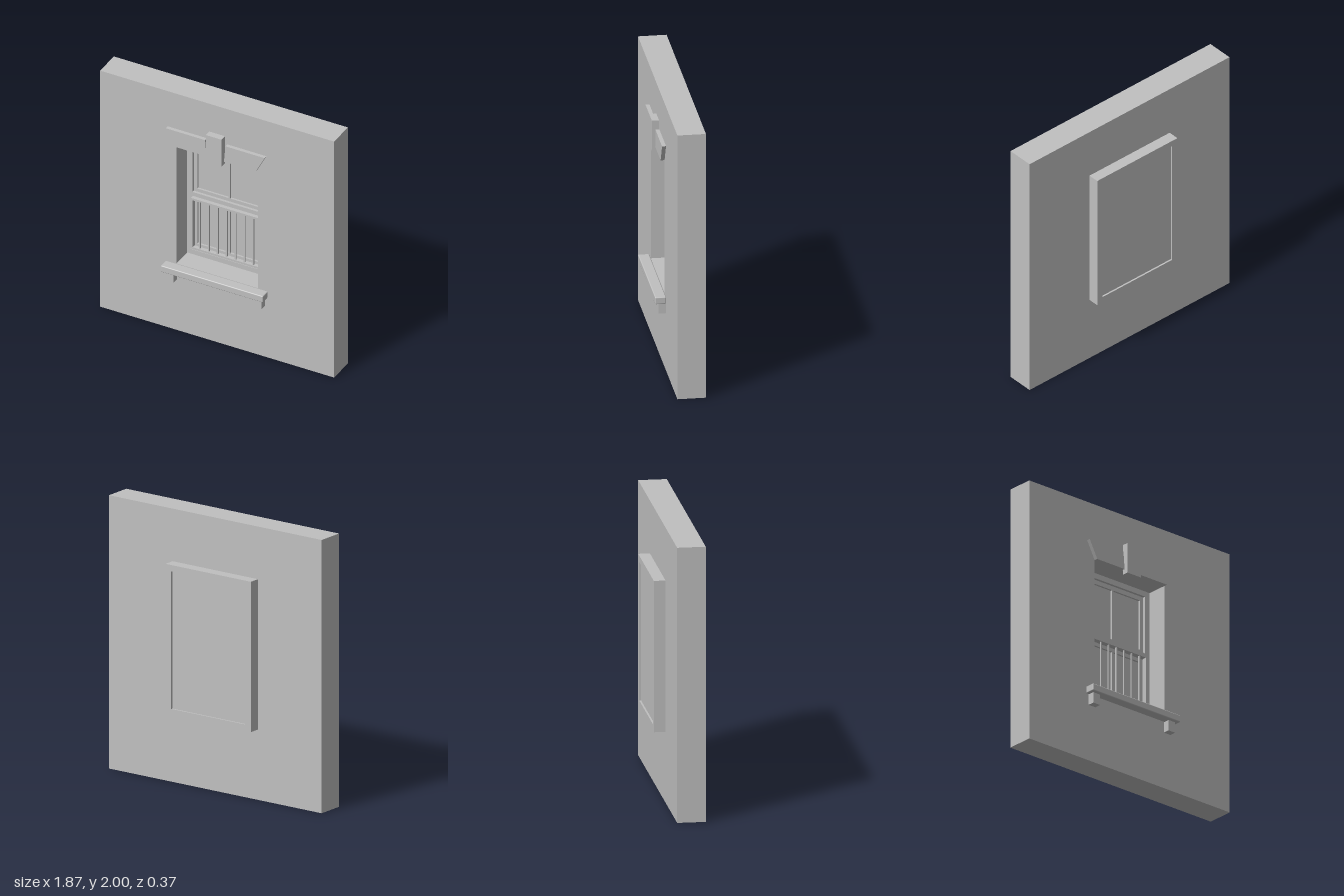
import * as THREE from 'three';
import { RoundedBoxGeometry } from 'three/addons/geometries/RoundedBoxGeometry.js';

const stone = new THREE.MeshStandardMaterial({ color: 0xc0c0c0 });
stone.name = 'stone grey';

function rect(Path, [x0, y0, x1, y1]) {
  const p = new Path();
  p.moveTo(x0, y0);
  p.lineTo(x1, y0);
  p.lineTo(x1, y1);
  p.lineTo(x0, y1);
  p.closePath();
  return p;
}

export function createModel() {
  const model = new THREE.Group();
  model.name = 'wallWithWindow';

  const add = (name, geometry) => {
    const mesh = new THREE.Mesh(geometry, stone);
    mesh.name = name;
    model.add(mesh);
    return mesh;
  };
  const extrude = (name, shape, z0, z1) => {
    const g = new THREE.ExtrudeGeometry(shape, { depth: z1 - z0, bevelEnabled: false });
    return add(name, g.translate(0, 0, z0));
  };
  // Flat panel with rectangular openings
  const panel = (name, outer, holes, z0, z1) => {
    const shape = rect(THREE.Shape, outer);
    shape.holes = holes.map((h) => rect(THREE.Path, h));
    return extrude(name, shape, z0, z1);
  };
  const box = (name, x0, x1, y0, y1, z0, z1) =>
    add(name, new THREE.BoxGeometry(x1 - x0, y1 - y0, z1 - z0)
      .translate((x0 + x1) / 2, (y0 + y1) / 2, (z0 + z1) / 2));

  const front = 0.103, back = -0.1;
  const opening = [-0.325, 0.562, 0.325, 1.568];

  // Wall and the casing behind it
  panel('wall', [-0.935, 0, 0.935, 2], [opening], back, front);
  panel('backCasing', [-0.375, 0.515, 0.375, 1.615], [opening], -0.183, back);

  // Window frame, sashes and glass
  const upper = [-0.283, 1.088, 0.283, 1.528];
  const lower = [-0.275, 0.626, 0.275, 1.045];
  panel('windowFrame', opening, [upper, lower], -0.075, -0.055);
  const panes = [];
  for (const [y0, y1] of [[1.114, 1.496], [0.648, 1.018]]) {
    panes.push([-0.254, y0, -0.007, y1], [0.007, y0, 0.254, y1]);
  }
  panel('sashes', opening, panes, -0.09, -0.075);
  box('glass', opening[0], opening[2], opening[1], opening[3], -0.17, -0.09);

  // Railing in front of the lower sash
  panel('railingFrame', [-0.28, 0.61, 0.28, 1.056], [[-0.265, 0.642, 0.265, 1.04]], -0.055, -0.026);
  box('railingFoot', -0.28, 0.28, 0.61, 0.626, -0.03, -0.022);
  for (let i = -3; i <= 3; i++) {
    const x = i * 0.0715;
    box('railingBar', x - 0.005, x + 0.005, 0.642, 1.04, -0.045, -0.032);
  }

  // Lintel halves, with a keystone between them
  for (const s of [-1, 1]) {
    const shape = new THREE.Shape([[0.07, 1.568], [0.325, 1.568], [0.395, 1.702], [0.081, 1.702]]
      .map(([x, y]) => new THREE.Vector2(s * x, y)));
    extrude('lintel', shape, front, 0.131);
    // Bracket under the sill
    const x = s * 0.351;
    box('sillBracket', x - 0.031, x + 0.031, 0.43, 0.515, front, 0.154);
  }
  box('keystone', -0.063, 0.063, 1.535, 1.765, front, 0.154);

  // Sill with softened edges
  add('sill', new RoundedBoxGeometry(0.816, 0.053, 0.078, 3, 0.007).translate(0, 0.537, 0.143));

  return model;
}
